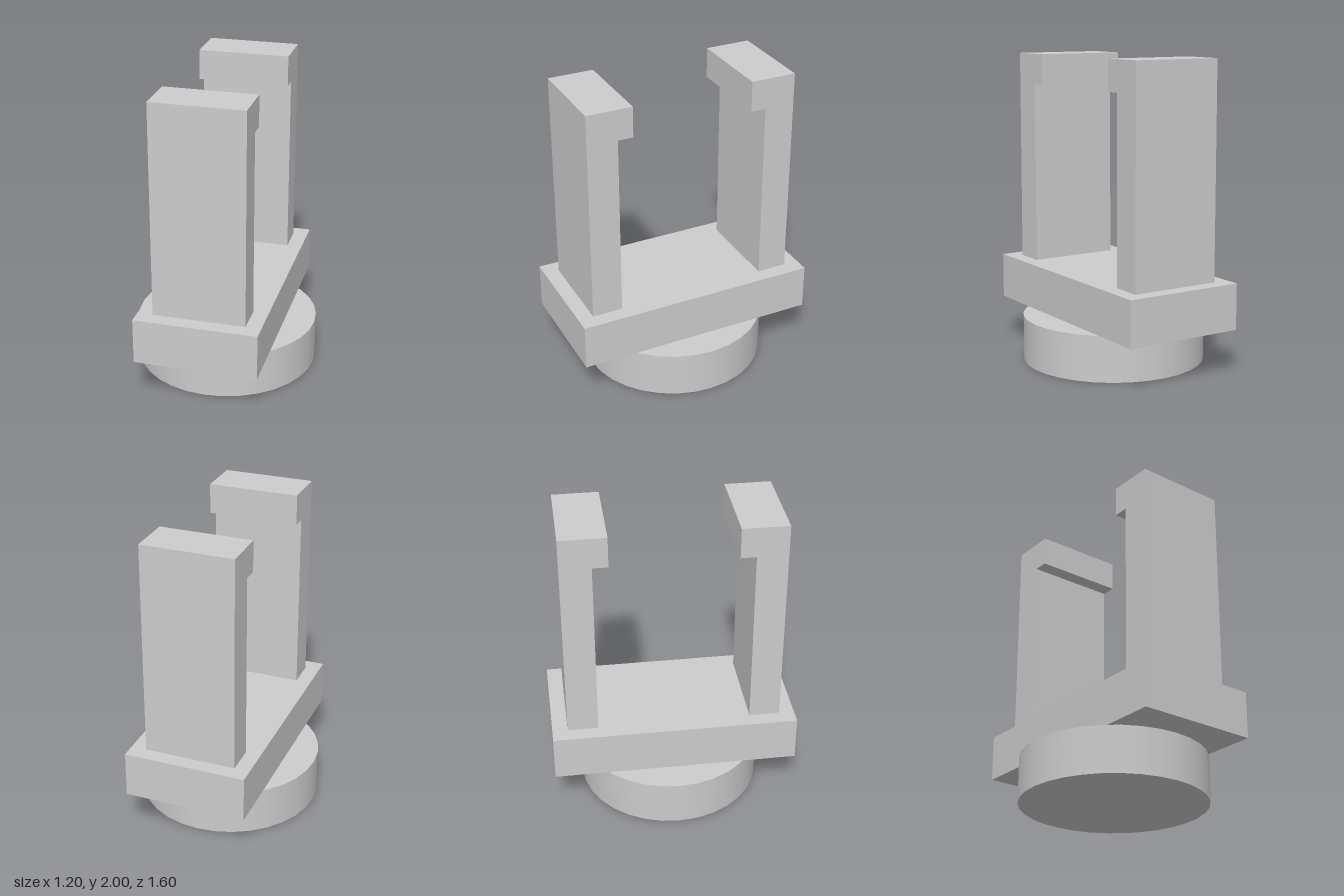
import * as THREE from 'three';

export function createModel() {
  const model = new THREE.Group();
  const grey = new THREE.MeshStandardMaterial({ color: 0xcccccc });
  grey.name = 'light grey';

  const add = (name, geometry) => {
    const mesh = new THREE.Mesh(geometry, grey);
    mesh.name = name;
    model.add(mesh);
    return mesh;
  };

  // Round foot
  add('roundBase', new THREE.CylinderGeometry(0.6, 0.6, 0.3, 32)).position.y = 0.15;

  // Rectangular plate on the foot
  add('plate', new THREE.BoxGeometry(0.8, 0.3, 1.6)).position.y = 0.45;

  // Clip arm: upright with an inward lip, profile in (z, y), extruded across x
  const profile = new THREE.Shape([
    [0.5, 0.6], [0.7, 0.6], [0.7, 2], [0.4, 2], [0.4, 1.8], [0.5, 1.8],
  ].map(([z, y]) => new THREE.Vector2(z, y)));
  const armGeometry = new THREE.ExtrudeGeometry(profile, { depth: 0.6, bevelEnabled: false });
  armGeometry.translate(0, 0, -0.3).rotateY(-Math.PI / 2);

  add('frontClipArm', armGeometry);
  add('backClipArm', armGeometry).rotation.y = Math.PI;

  return model;
}
